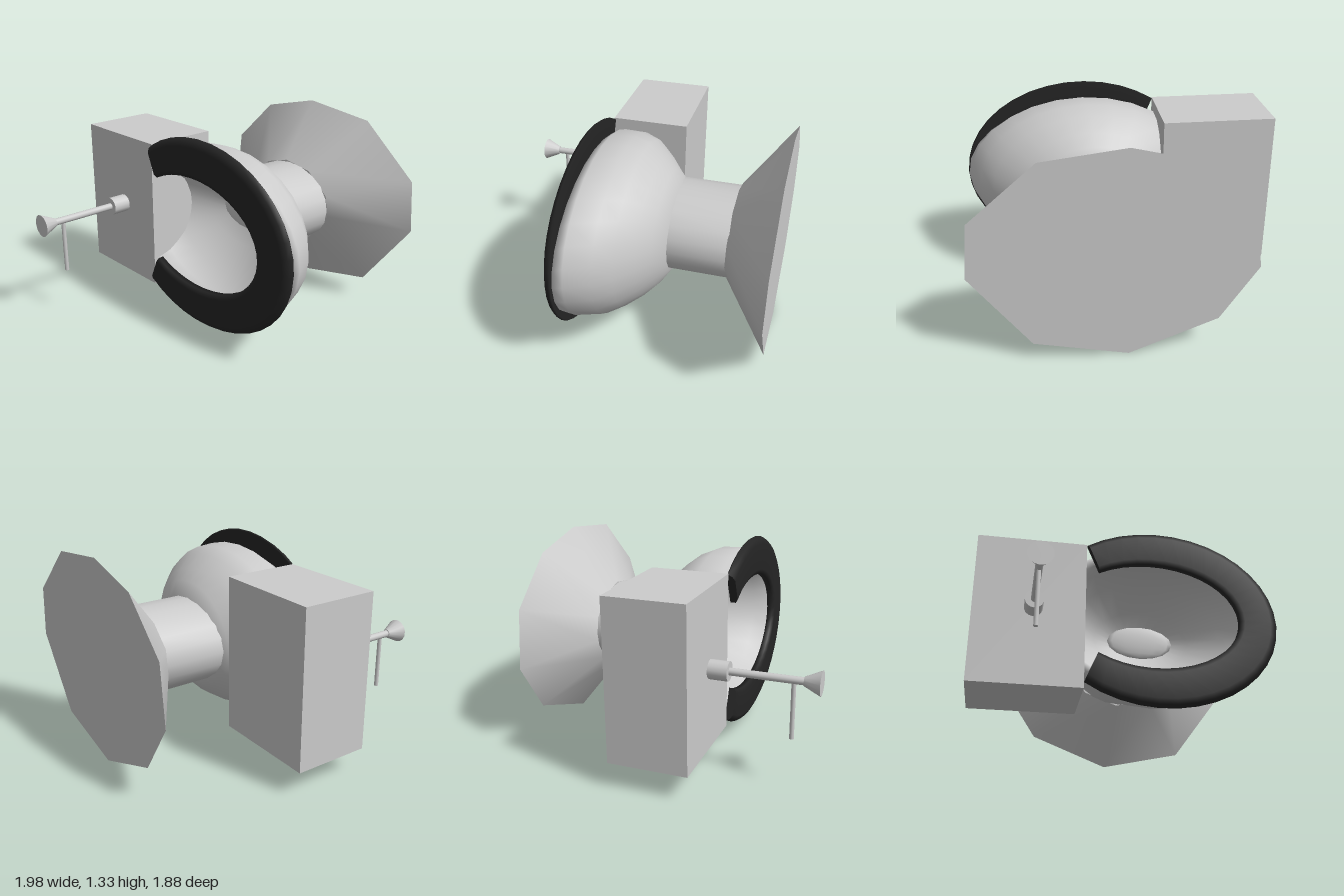
import * as THREE from 'three';

const grey = new THREE.MeshStandardMaterial({ color: 0xcccccc, side: THREE.DoubleSide });
const dark = new THREE.MeshStandardMaterial({ color: 0x252525, side: THREE.DoubleSide });

// Ring of n points on an ellipse facing z
function ellipse(z, cx, cy, rx, ry, n) {
  return Array.from({ length: n }, (_, i) => {
    const t = (i / n) * Math.PI * 2;
    return [cx + rx * Math.cos(t), cy + ry * Math.sin(t), z];
  });
}

// Smooth skin through closed rings, with optional crisp end caps
function loft(rings, capStart = false, capEnd = false) {
  const n = rings[0].length;
  const pos = rings.flat(2);
  const idx = [];
  for (let i = 0; i < rings.length - 1; i++) {
    for (let j = 0; j < n; j++) {
      const k = (j + 1) % n;
      const a = i * n + j, b = i * n + k, c = a + n, d = b + n;
      idx.push(a, c, b, b, c, d);
    }
  }
  const cap = (ring, flip) => {
    const start = pos.length / 3;
    const mid = [0, 1, 2].map((q) => ring.reduce((s, p) => s + p[q], 0) / n);
    pos.push(...ring.flat(), ...mid);
    for (let j = 0; j < n; j++) {
      const a = start + j, b = start + ((j + 1) % n);
      idx.push(start + n, flip ? b : a, flip ? a : b);
    }
  };
  if (capStart) cap(rings[0], false);
  if (capEnd) cap(rings[rings.length - 1], true);
  const g = new THREE.BufferGeometry();
  g.setAttribute('position', new THREE.Float32BufferAttribute(pos, 3));
  g.setIndex(idx);
  g.computeVertexNormals();
  return g;
}

export function createModel() {
  const model = new THREE.Group();
  const add = (name, geometry, x = 0, y = 0, z = 0, material = grey, parent = model) => {
    const mesh = new THREE.Mesh(geometry, material);
    mesh.name = name;
    mesh.position.set(x, y, z);
    parent.add(mesh);
    return mesh;
  };

  // Water tank
  add('tank', new THREE.BoxGeometry(0.71, 1.01, 0.5), -0.645, 0.665, 0.03);

  // Bowl: up the inside, over the rim, down the outside (z, cx, cy, rx, ry)
  const bowl = [
    [-0.21, 0.15, 0.7, 0.2, 0.1],
    [-0.15, 0.15, 0.69, 0.33, 0.22],
    [0, 0.15, 0.68, 0.52, 0.37],
    [0.14, 0.18, 0.675, 0.64, 0.44],
    [0.245, 0.2, 0.675, 0.7, 0.46],
    [0.255, 0.2, 0.675, 0.775, 0.5],
    [0.2, 0.19, 0.675, 0.765, 0.54],
    [0.05, 0.17, 0.675, 0.72, 0.54],
    [-0.05, 0.15, 0.675, 0.65, 0.5],
    [-0.15, 0.15, 0.67, 0.53, 0.43],
    [-0.22, 0.15, 0.67, 0.43, 0.36],
    [-0.28, 0.12, 0.67, 0.34, 0.28],
    [-0.3, 0.11, 0.67, 0.2, 0.16],
  ].map((r) => ellipse(...r, 28));
  add('bowl', loft(bowl, true, true));

  // Drain at the bottom of the bowl
  const drain = add('drain', new THREE.SphereGeometry(1, 12, 8), 0.15, 0.7, -0.19);
  drain.scale.set(0.23, 0.12, 0.025);

  // Horseshoe seat, cut off at the tank: section points (z, outwards 0..1)
  const section = [[0.27, 0.97], [0.28, 1], [0.305, 0.93], [0.32, 0.8], [0.32, 0.12], [0.305, 0], [0.27, 0]];
  const steps = 28, sweep = 2.25;
  const seat = [];
  for (let i = 0; i <= steps; i++) {
    const t = -sweep + (2 * sweep * i) / steps;
    seat.push(section.map(([z, w]) => [
      0.15 + 0.05 * w + (0.57 + 0.21 * w) * Math.cos(t),
      0.68 + (0.37 + 0.25 * w) * Math.sin(t),
      z,
    ]));
  }
  add('seat', loft(seat, true, true), 0, 0, 0, dark);

  // Pedestal column
  add('pedestal', loft([
    ellipse(-0.2, 0.095, 0.672, 0.355, 0.275, 20),
    ellipse(-0.66, 0.095, 0.672, 0.355, 0.275, 20),
  ]));

  // Flared ten-sided foot
  const foot = [
    [0.93, 0.59], [0.9, 0.93], [0.51, 1.27], [0.02, 1.33], [-0.39, 1.23],
    [-0.7, 0.93], [-0.74, 0.55], [-0.515, 0.21], [0.02, 0], [0.58, 0.12],
  ];
  const neck = foot.map(([x, y]) => {
    const t = Math.atan2((y - 0.67) / 0.665, (x - 0.095) / 0.835);
    return [0.095 + 0.365 * Math.cos(t), 0.672 + 0.285 * Math.sin(t), -0.645];
  });
  add('foot', loft([neck, foot.map(([x, y]) => [x, y, -0.945])], true, true));

  // Flush handle: collar, rod and knob along z, with a hanging lever
  const handle = new THREE.Group();
  handle.name = 'flushHandle';
  handle.position.set(-0.62, 0.675, 0);
  model.add(handle);
  const rods = [
    ['collar', 0.06, 0.06, 0.27, 0.4],
    ['rod', 0.023, 0.023, 0.38, 0.86],
    ['knob', 0.075, 0.028, 0.84, 0.94],
  ];
  for (const [name, front, back, z0, z1] of rods) {
    const g = new THREE.CylinderGeometry(front, back, z1 - z0, 14).rotateX(Math.PI / 2);
    add(name, g, 0, 0, (z0 + z1) / 2, grey, handle);
  }
  add('lever', new THREE.CylinderGeometry(0.014, 0.014, 0.365, 10), 0, -0.1825, 0.78, grey, handle);

  return model;
}
